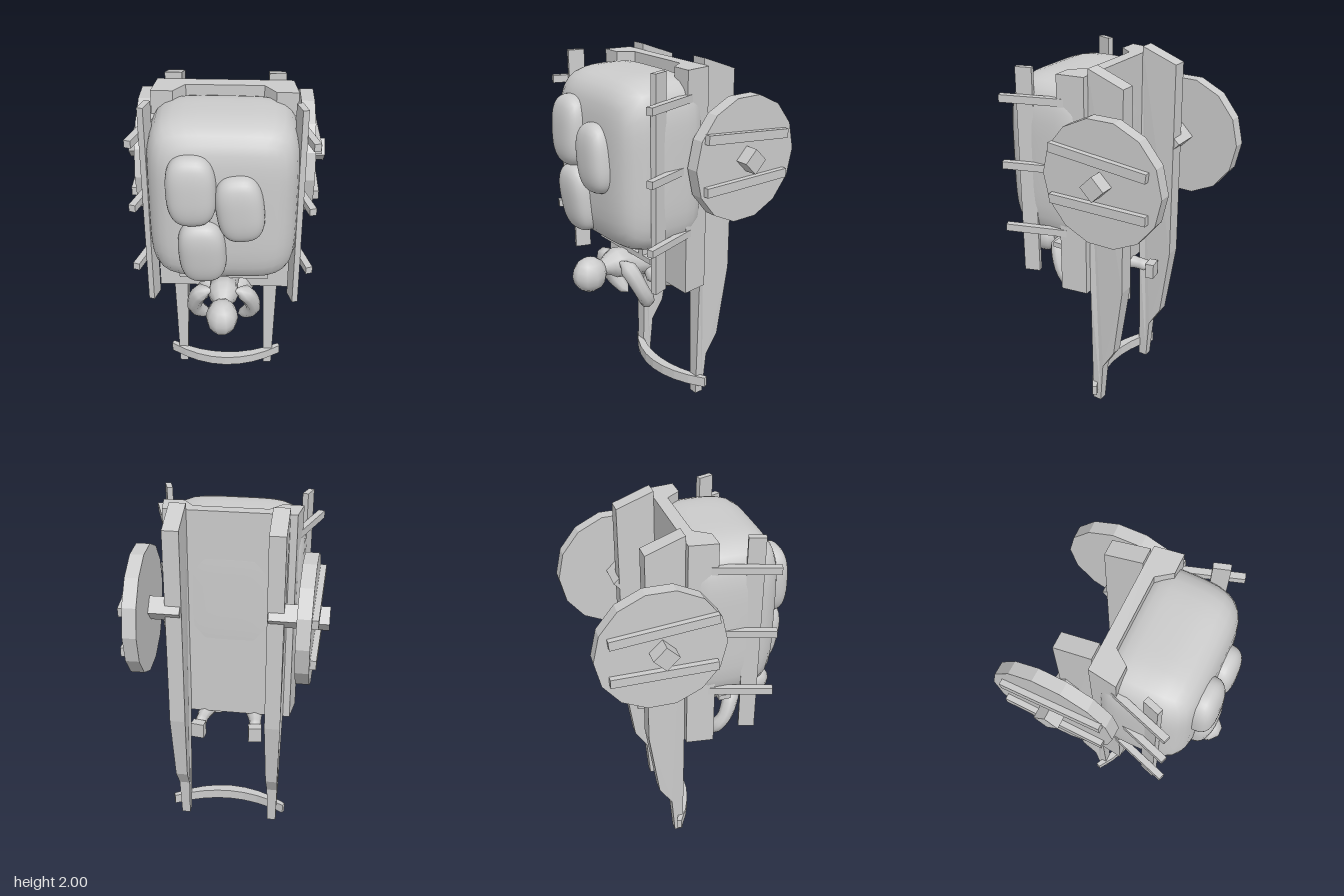
import * as THREE from 'three';
import { mergeVertices } from 'three/addons/utils/BufferGeometryUtils.js';

const flat = new THREE.MeshStandardMaterial({ color: 0xcccccc, flatShading: true });
const smooth = new THREE.MeshStandardMaterial({ color: 0xcccccc });

export function createModel() {
  const model = new THREE.Group();

  function add(name, geometry, material = flat, parent = model) {
    const mesh = new THREE.Mesh(geometry, material);
    mesh.name = name;
    parent.add(mesh);
    return mesh;
  }
  function box(name, w, h, d, x, y, z, parent = model) {
    const mesh = add(name, new THREE.BoxGeometry(w, h, d), flat, parent);
    mesh.position.set(x, y, z);
    return mesh;
  }
  function outline(points, depth) {
    const shape = new THREE.Shape(points.map(([x, y]) => new THREE.Vector2(x, y)));
    return new THREE.ExtrudeGeometry(shape, { depth, bevelEnabled: false });
  }
  // Joins vertices so that normals run smoothly over the surface
  function soften(geometry) {
    geometry.deleteAttribute('uv');
    geometry.deleteAttribute('normal');
    const merged = mergeVertices(geometry, 1e-4);
    merged.computeVertexNormals();
    return merged;
  }
  // Rounded block: cube grid pulled onto a superellipsoid, narrowing to the front
  function stuffed(rx, ry, rz, n, taper = 0) {
    const g = new THREE.BoxGeometry(2, 2, 2, 12, 12, 10);
    const p = g.attributes.position, v = new THREE.Vector3();
    for (let i = 0; i < p.count; i++) {
      v.fromBufferAttribute(p, i);
      const r = (Math.abs(v.x) ** n + Math.abs(v.y) ** n + Math.abs(v.z) ** n) ** (1 / n);
      v.divideScalar(r);
      const k = 1 - taper * Math.max(0, v.z) ** 2;
      p.setXYZ(i, v.x * rx * k, v.y * ry * k, v.z * rz);
    }
    return soften(g);
  }
  // Tube through points with its own radius at each point
  function limb(points, radii, sides = 8, segments = 12) {
    const curve = new THREE.CatmullRomCurve3(points.map(a => new THREE.Vector3(...a)));
    const g = new THREE.TubeGeometry(curve, segments, 1, sides);
    const p = g.attributes.position, v = new THREE.Vector3();
    for (let i = 0; i < p.count; i++) {
      const u = Math.floor(i / (sides + 1)) / segments;
      const t = curve.getUtoTmapping(u) * (radii.length - 1);
      const k = Math.min(Math.floor(t), radii.length - 2);
      const c = curve.getPointAt(u);
      v.fromBufferAttribute(p, i).sub(c);
      v.multiplyScalar(THREE.MathUtils.lerp(radii[k], radii[k + 1], t - k)).add(c);
      p.setXYZ(i, v.x, v.y, v.z);
    }
    return soften(g);
  }

  // Bed: solid foot end, then a trough that holds the load
  const foot = outline([[-0.35, 0.06], [0.35, 0.06], [0.372, -0.09], [-0.372, -0.09]], 0.26);
  foot.rotateX(-Math.PI / 2).translate(0, 0.745, 0);
  add('bedFoot', foot);
  const trough = outline([[-0.35, 0.06], [0.35, 0.06], [0.372, -0.09], [0.26, -0.09],
    [0.2, -0.01], [-0.2, -0.01], [-0.26, -0.09], [-0.372, -0.09]], 0.96);
  trough.rotateX(-Math.PI / 2).translate(0, 1.005, 0);
  add('bedTrough', trough);

  // Load and the three sacks tied onto it
  add('load', stuffed(0.39, 0.465, 0.262, 5, 0.1), smooth).position.set(0, 1.465, 0.2);
  const sacks = [
    [-0.15, 1.61, 0.45, 0.125, 0.19, 0.03, -0.03],
    [0.09, 1.515, 0.45, 0.12, 0.185, 0.12, 0],
    [-0.1, 1.25, 0.445, 0.122, 0.19, 0.05, 0.12],
  ];
  for (const [x, y, z, rx, ry, turn, lean] of sacks) {
    const sack = add('sack', stuffed(rx, ry, 0.09, 2.8), smooth);
    sack.position.set(x, y, z);
    sack.rotation.set(lean, 0, turn);
  }

  // Seat back board
  box('seatBoard', 0.49, 0.03, 0.07, 0, 0.925, 0.2);

  // Curved yoke across the shaft ends
  const yoke = new THREE.Shape();
  yoke.moveTo(-0.345, 0.085);
  yoke.quadraticCurveTo(0, -0.165, 0.345, 0.085);
  yoke.lineTo(0.335, 0.11);
  yoke.quadraticCurveTo(0, -0.08, -0.335, 0.11);
  const yokeGeometry = new THREE.ExtrudeGeometry(yoke, { depth: 0.06, bevelEnabled: false, curveSegments: 8 });
  add('yoke', yokeGeometry.rotateX(-Math.PI / 2).translate(0, 0.06, 0));

  for (const s of [1, -1]) {
    // Shaft: side outline, thinned towards its tip
    const shaft = outline([[0.06, 0], [0.11, 0], [0.13, 0.25], [0.205, 0.37], [0.265, 0.79],
      [0.265, 1.925], [0.06, 2], [0.06, 0.79], [0.06, 0.37], [0.06, 0.25]], 0.088);
    shaft.translate(0, 0, -0.044).rotateY(Math.PI / 2);
    const p = shaft.attributes.position;
    for (let i = 0; i < p.count; i++) {
      const k = THREE.MathUtils.clamp(p.getY(i) / 0.79, 0, 1);
      p.setX(i, p.getX(i) * (0.57 + 0.43 * k));
    }
    shaft.computeVertexNormals();
    add('shaft', shaft).position.x = s * 0.268;

    // Side rack: leaning stakes with a long rail
    const lean = s * 0.315;
    for (const y of [1.09, 1.455, 1.82]) {
      box('stake', 0.036, 0.04, 0.35, s * 0.402, y, 0.22).rotation.y = lean;
    }
    box('sideRail', 0.032, 1.16, 0.088, s * 0.382, 1.4, 0.278).rotation.y = lean;
    box('seatPost', 0.035, 0.035, 0.15, s * 0.157, 0.955, 0.16);

    // Wheel disc with two battens, slightly toed
    const wheel = new THREE.Group();
    wheel.name = 'wheel';
    wheel.position.set(s * 0.433, 1.475, -0.23);
    wheel.rotation.y = s * 0.022;
    model.add(wheel);
    const disc = new THREE.CylinderGeometry(0.342, 0.342, 0.072, 14);
    add('wheelDisc', disc.rotateZ(Math.PI / 2), flat, wheel);
    box('batten', 0.035, 0.05, 0.56, s * 0.05, 0.13, 0.01, wheel).rotation.x = -0.1;
    box('batten', 0.035, 0.05, 0.56, s * 0.05, -0.12, 0.01, wheel);
    box('axle', 0.315, 0.097, 0.097, s * 0.388, 1.48, -0.228).rotation.x = Math.PI / 4;

    // Driver's arm and leg
    add('arm', limb([[s * 0.06, 0.88, 0.31], [s * 0.12, 0.85, 0.29], [s * 0.168, 0.72, 0.235],
      [s * 0.15, 0.65, 0.19], [s * 0.1, 0.6, 0.165], [s * 0.08, 0.59, 0.16]],
      [0.005, 0.05, 0.042, 0.046, 0.03, 0.001]), smooth);
    add('leg', limb([[s * 0.04, 0.8, 0.12], [s * 0.08, 0.76, 0.1], [s * 0.13, 0.725, 0.02],
      [s * 0.155, 0.715, -0.09], [s * 0.16, 0.71, -0.15], [s * 0.165, 0.7, -0.17]],
      [0.01, 0.055, 0.052, 0.034, 0.035, 0.001]), smooth);
    box('shoe', 0.075, 0.09, 0.05, s * 0.163, 0.695, -0.18).rotation.y = s * -0.15;
  }

  // Driver's body and head
  add('driverBody', limb([[0, 0.815, 0.02], [0, 0.82, 0.08], [0, 0.83, 0.2], [0, 0.85, 0.3], [0, 0.84, 0.4]],
    [0.01, 0.09, 0.078, 0.088, 0.03], 10), smooth);
  const head = add('driverHead', new THREE.SphereGeometry(0.1, 10, 8), smooth);
  head.scale.set(0.87, 1, 1);
  head.position.set(0, 0.825, 0.467);

  return model;
}
